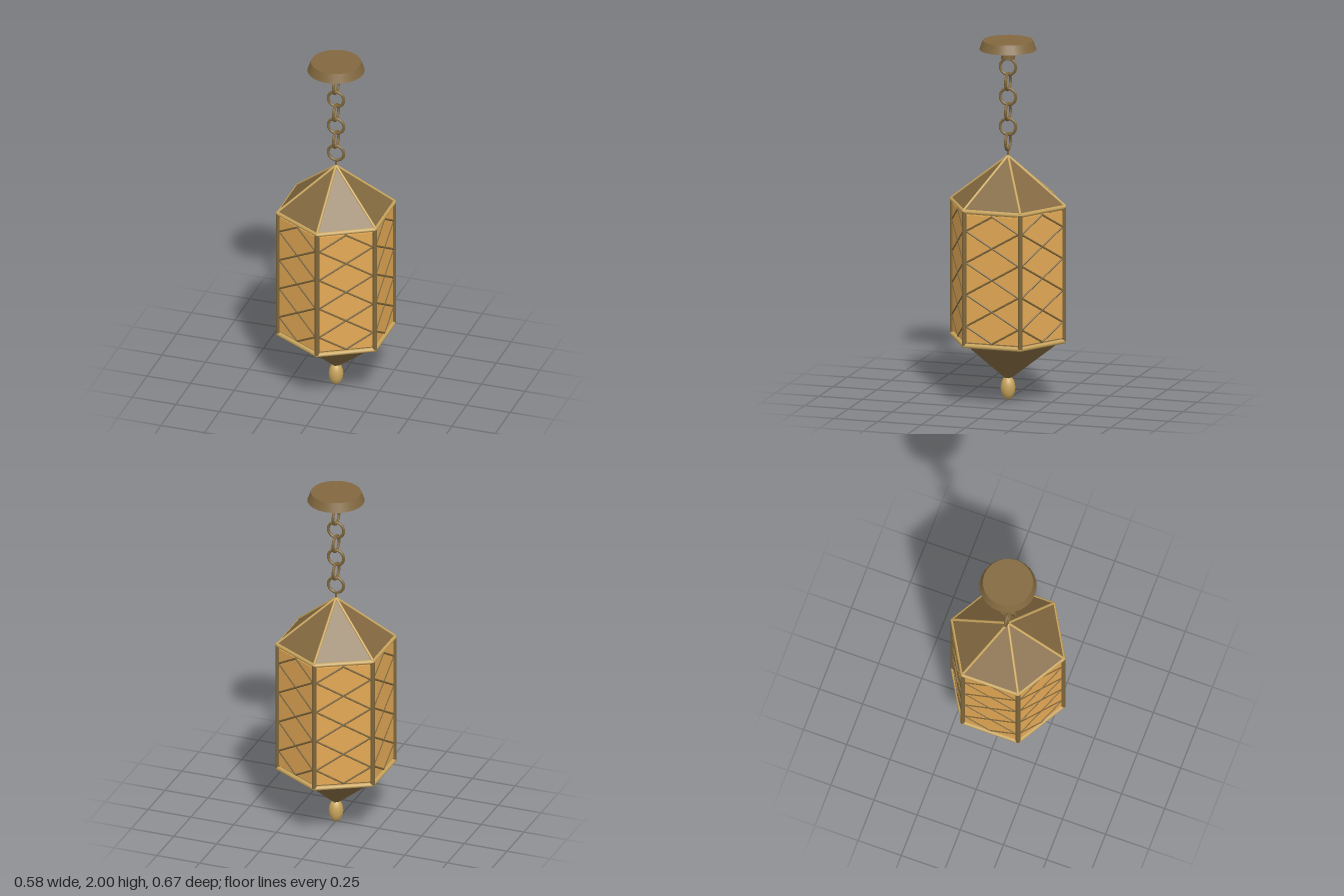
import * as THREE from 'three';

const mat = (name, color) => {
  const m = new THREE.MeshStandardMaterial({ color });
  m.name = name;
  return m;
};

// Six-sided cone with crisp faces
const hexCone = (top, bottom, height) => {
  const g = new THREE.CylinderGeometry(top, bottom, height, 6).toNonIndexed();
  g.computeVertexNormals();
  return g;
};

export function createModel() {
  const bronze = mat('bronze', 0x82683f);
  const agedBrass = mat('aged brass', 0x7e663a);
  const brass = mat('brass', 0xc8a45c);
  const amber = mat('amber glass', 0xe4a955);

  const lantern = new THREE.Group();
  lantern.name = 'hangingLantern';

  const add = (name, geometry, material, y = 0, parent = lantern) => {
    const mesh = new THREE.Mesh(geometry, material);
    mesh.name = name;
    mesh.position.y = y;
    parent.add(mesh);
    return mesh;
  };

  // Round rod between two points
  const rod = (name, a, b, radius, material, parent = lantern, sides = 10) => {
    const dir = b.clone().sub(a);
    const mesh = add(name, new THREE.CylinderGeometry(radius, radius, dir.length(), sides), material, 0, parent);
    mesh.position.copy(a).add(b).multiplyScalar(0.5);
    mesh.quaternion.setFromUnitVectors(new THREE.Vector3(0, 1, 0), dir.normalize());
  };

  // Corner i of the hexagonal body, one corner facing the front
  const R = 0.32, rimTop = 1.093, rimBottom = 0.346;
  const corner = (i, y, r = R) => {
    const a = (i * Math.PI) / 3;
    return new THREE.Vector3(Math.sin(a) * r, y, Math.cos(a) * r);
  };

  // Ceiling canopy and stem
  add('canopy', new THREE.CylinderGeometry(0.137, 0.156, 0.05, 24), bronze, 1.975);
  add('canopyStem', new THREE.CylinderGeometry(0.039, 0.039, 0.06, 16), bronze, 1.927);

  // Chain links, alternately turned by a quarter
  for (let i = 0; i < 6; i++) {
    const link = add('chainLink', new THREE.TorusGeometry(0.045, 0.008, 8, 24), agedBrass, 1.853 - i * 0.0835);
    link.rotation.y = i % 2 ? 0 : Math.PI / 2;
  }
  add('hanger', new THREE.CylinderGeometry(0.006, 0.006, 0.06, 8), agedBrass, 1.365);

  // Roof, tapered base hanging point-down, and finial
  add('roof', hexCone(0, 0.327, 0.257), bronze, 1.2285);
  add('base', hexCone(0.305, 0.012, 0.232), bronze, 0.23);
  const finial = add('finial', new THREE.SphereGeometry(0.04, 20, 14), brass, 0.066);
  finial.scale.y = 1.65;

  // Frame: posts, rims, ribs and corner balls
  for (let i = 0; i < 6; i++) {
    rod('post', corner(i, rimBottom), corner(i, rimTop), 0.013, agedBrass);
    rod('roofRib', corner(i, 1.1, R + 0.006), new THREE.Vector3(0, 1.357, 0), 0.007, brass);
    for (const y of [rimTop, rimBottom]) {
      rod('rim', corner(i, y), corner(i + 1, y), 0.0125, brass);
      add('rimJoint', new THREE.SphereGeometry(0.0125, 10, 8), brass).position.copy(corner(i, y));
    }
  }

  // Glass panels with a diamond lattice
  const width = 0.3, height = 0.708, rows = 4, step = height / rows;
  for (let i = 0; i < 6; i++) {
    const side = new THREE.Group();
    side.name = 'sidePanel';
    side.rotation.y = ((i + 0.5) * Math.PI) / 3;
    side.position.y = 0.72;
    lantern.add(side);

    const pane = new THREE.Group();
    pane.name = 'panelFace';
    pane.position.z = R * Math.cos(Math.PI / 6) - 0.003;
    side.add(pane);
    add('glass', new THREE.BoxGeometry(width, height, 0.008), amber, 0, pane);

    const w = width / 2, front = 0.003;
    for (let k = 0; k < rows; k++) {
      const y0 = -height / 2 + k * step, mid = y0 + step / 2;
      for (const s of [-1, 1]) {
        for (const y of [y0, y0 + step]) {
          rod('lattice', new THREE.Vector3(0, y, front), new THREE.Vector3(s * w, mid, front), 0.0058, agedBrass, pane, 8);
        }
      }
    }
  }

  return lantern;
}
